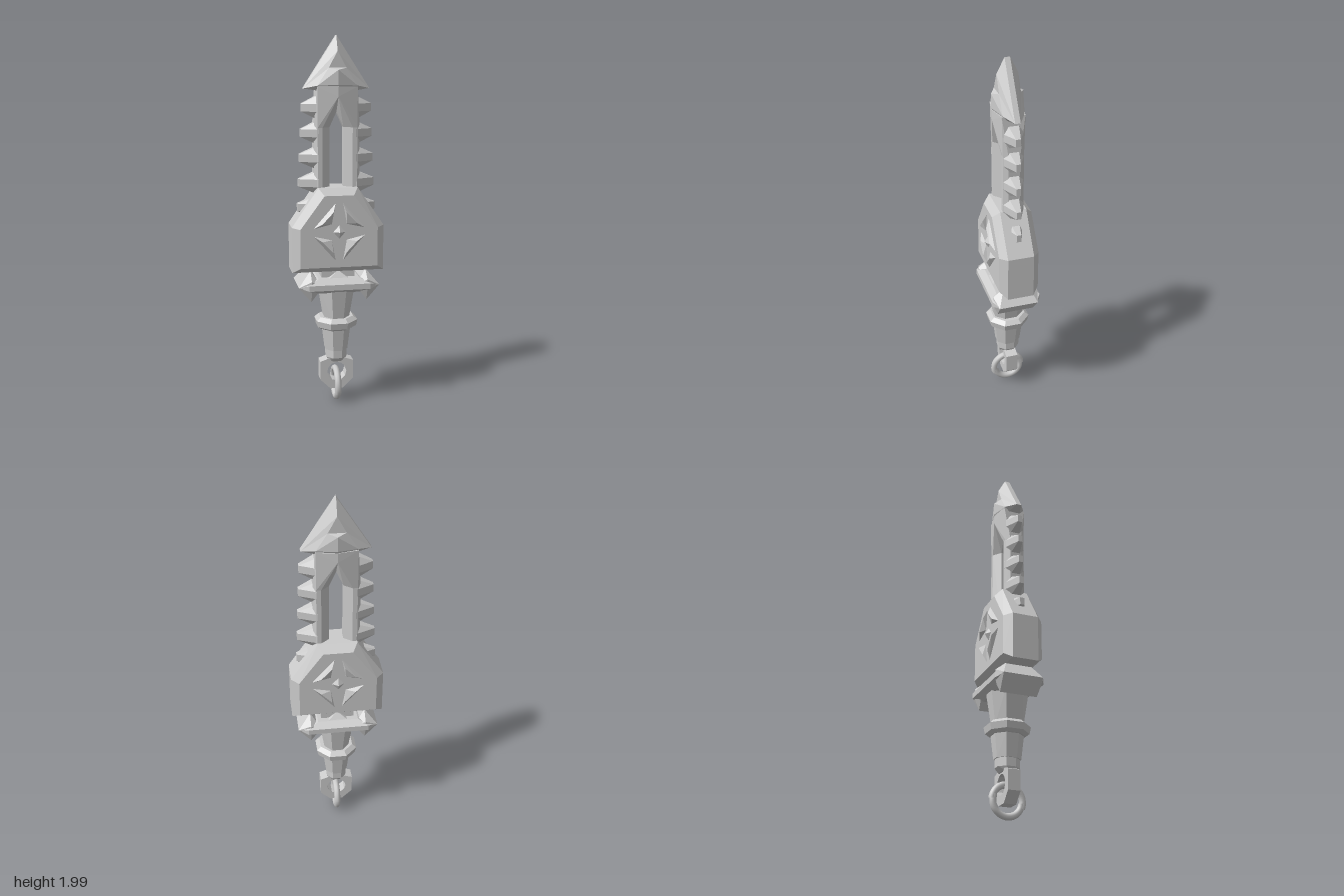
import * as THREE from 'three';
import { ConvexGeometry } from 'three/addons/geometries/ConvexGeometry.js';

export function createModel() {
  const model = new THREE.Group();
  model.name = 'ornamentalDagger';
  const steel = new THREE.MeshStandardMaterial({ color: 0xcccccc });
  steel.name = 'steelGrey';

  const add = (name, geometry) => {
    const mesh = new THREE.Mesh(geometry, steel);
    mesh.name = name;
    model.add(mesh);
  };
  // Convex solid from corner points
  const hull = (name, pts) => add(name, new ConvexGeometry(pts.map(p => new THREE.Vector3(...p))));
  const mirrorX = pts => pts.map(([x, y, z]) => [-x, y, z]);
  const bothZ = pts => pts.flatMap(([x, y, z]) => [[x, y, z], [x, y, -z]]);
  const allSides = pts => bothZ([...pts, ...mirrorX(pts)]);
  const pair = (name, pts) => {
    hull(name + 'Left', pts);
    hull(name + 'Right', mirrorX(pts));
  };

  // Blade tip: one quarter, mirrored four times, with a notch front and back
  const T = [0, 2, 0.014], T0 = [0, 2, 0], E = [0.175, 1.73, 0.014], E0 = [0.175, 1.73, 0];
  const N = [0, 1.92, 0.055], M = [0.046, 1.835, 0.055], Q = [0, 1.835, 0.055];
  const P = [0, 1.825, 0.082], B = [0, 1.75, 0.082], C = [0.105, 1.745, 0.055];
  const U = [0, 1.705, 0.06], L = [0, 1.705, 0];
  const tris = [[T, N, E], [N, M, E], [N, Q, M], [Q, P, M], [M, P, C], [M, C, E], [P, B, C],
    [B, U, C], [C, U, E], [U, L, E], [L, E0, E], [T, E, E0], [T, E0, T0]];
  const coords = [];
  for (const sx of [1, -1]) for (const sz of [1, -1]) for (const [a, b, c] of tris) {
    const order = sx * sz > 0 ? [a, b, c] : [a, c, b];
    for (const [x, y, z] of order) coords.push(x * sx, y, z * sz);
  }
  const tip = new THREE.BufferGeometry();
  tip.setAttribute('position', new THREE.Float32BufferAttribute(coords, 3));
  tip.computeVertexNormals();
  add('bladeTip', tip);

  // Two blade rails meeting in a pointed arch
  const rail = y => [[0.037, y, 0.02], [0.08, y, 0.055], [0.105, y, 0.055], [0.122, y, 0.03]];
  pair('bladeRail', bothZ([...rail(1.1), ...rail(1.53)]));
  pair('bladeArch', bothZ([...rail(1.53), [0.105, 1.74, 0.06], [0, 1.61, 0.02],
    [0, 1.69, 0.08], [0, 1.74, 0.08]]));

  // Saw teeth along both edges, hexagonal at the root
  for (let i = 0; i < 5; i++) {
    const y = 1.632 - i * 0.131, x = 0.185 + i * 0.006;
    const pts = [];
    for (const s of [1, -1]) pts.push(
      [0.1, y + s * 0.062, 0.028], [0.1, y + s * 0.02, 0.056], [x, y + s * 0.02, 0.012]);
    pair('sawTooth' + (i + 1), bothZ(pts));
  }

  // Bevelled body block
  hull('body', allSides([
    [0.247, 0.765, 0.07], [0.247, 1.01, 0.07], [0.105, 1.217, 0.07],
    [0.207, 0.795, 0.107], [0.207, 1.005, 0.107], [0.078, 1.18, 0.107]]));

  // Raised emblem on both faces: four diagonal wedges round a stud
  const cy = 0.987;
  for (const sz of [1, -1]) {
    const side = sz > 0 ? 'Front' : 'Back';
    for (const sx of [1, -1]) for (const sy of [1, -1]) {
      const at = (x, y, z) => [x * sx, cy + y * sy, z * sz];
      hull('emblemWedge' + side, [
        at(0.138, 0.02, 0.1), at(0.02, 0.154, 0.1), at(0.04, 0.043, 0.1),
        at(0.138, 0.02, 0.107), at(0.02, 0.154, 0.107), at(0.04, 0.043, 0.107),
        at(0.092, 0.048, 0.127), at(0.035, 0.108, 0.127)]);
    }
    hull('emblemStud' + side, [[0.034, cy, 0.106 * sz], [-0.034, cy, 0.106 * sz],
      [0, cy + 0.038, 0.106 * sz], [0, cy - 0.038, 0.106 * sz], [0, cy, 0.128 * sz]]);
  }

  // Neck, guard plate and pointed guard blocks
  hull('neck', allSides([[0.09, 0.7, 0.07], [0.09, 0.78, 0.07]]));
  hull('guardPlate', allSides([
    [0.12, 0.65, 0.09], [0.165, 0.675, 0.133], [0.218, 0.69, 0.1],
    [0.165, 0.705, 0.133], [0.11, 0.733, 0.1]]));
  pair('guardBlock', bothZ([[0.15, 0.772, 0.067], [0.218, 0.69, 0.107], [0.15, 0.725, 0.125],
    [0.15, 0.68, 0.128], [0.09, 0.69, 0.107], [0.15, 0.608, 0.1]]));
  hull('guardPeak', allSides([[0.06, 0.725, 0.1], [0, 0.77, 0.067]]));

  // Eight-sided grip from stacked sections: [radius x, radius z, y]
  const octagon = ([rx, rz, y]) => allSides([[rx, y, rz * 0.42], [rx * 0.42, y, rz]]);
  const grip = (name, ...sections) => hull(name, sections.flatMap(octagon));
  grip('upperGrip', [0.095, 0.103, 0.665], [0.066, 0.077, 0.48]);
  grip('gripRing', [0.09, 0.09, 0.5], [0.112, 0.112, 0.48], [0.105, 0.105, 0.445], [0.085, 0.085, 0.432]);
  grip('lowerGrip', [0.075, 0.08, 0.44], [0.06, 0.066, 0.31]);
  grip('gripEnd', [0.055, 0.06, 0.312], [0.055, 0.06, 0.265], [0.045, 0.04, 0.24]);

  // Hexagonal eyelet with a round hole
  const eyelet = new THREE.Shape([[-0.092, 0.24], [-0.092, 0.135], [-0.035, 0.08], [0.035, 0.08],
    [0.092, 0.135], [0.092, 0.24], [0.05, 0.255], [-0.05, 0.255]].map(p => new THREE.Vector2(...p)));
  const hole = new THREE.Path();
  hole.absarc(0, 0.18, 0.054, 0, Math.PI * 2, true);
  eyelet.holes.push(hole);
  const eyeletGeo = new THREE.ExtrudeGeometry(eyelet, { depth: 0.066, bevelEnabled: false, curveSegments: 6 });
  add('eyelet', eyeletGeo.translate(0, 0, -0.033));

  // Split ring: two overlapping arcs hanging from the eyelet
  for (const [radius, start] of [[0.082, 0.1], [0.076, 0.1 + Math.PI]]) {
    const arc = new THREE.TorusGeometry(radius, 0.018, 8, 24, Math.PI * 1.1);
    add('splitRing', arc.rotateZ(start).rotateY(Math.PI / 2).translate(0, 0.1, 0));
  }
  return model;
}
